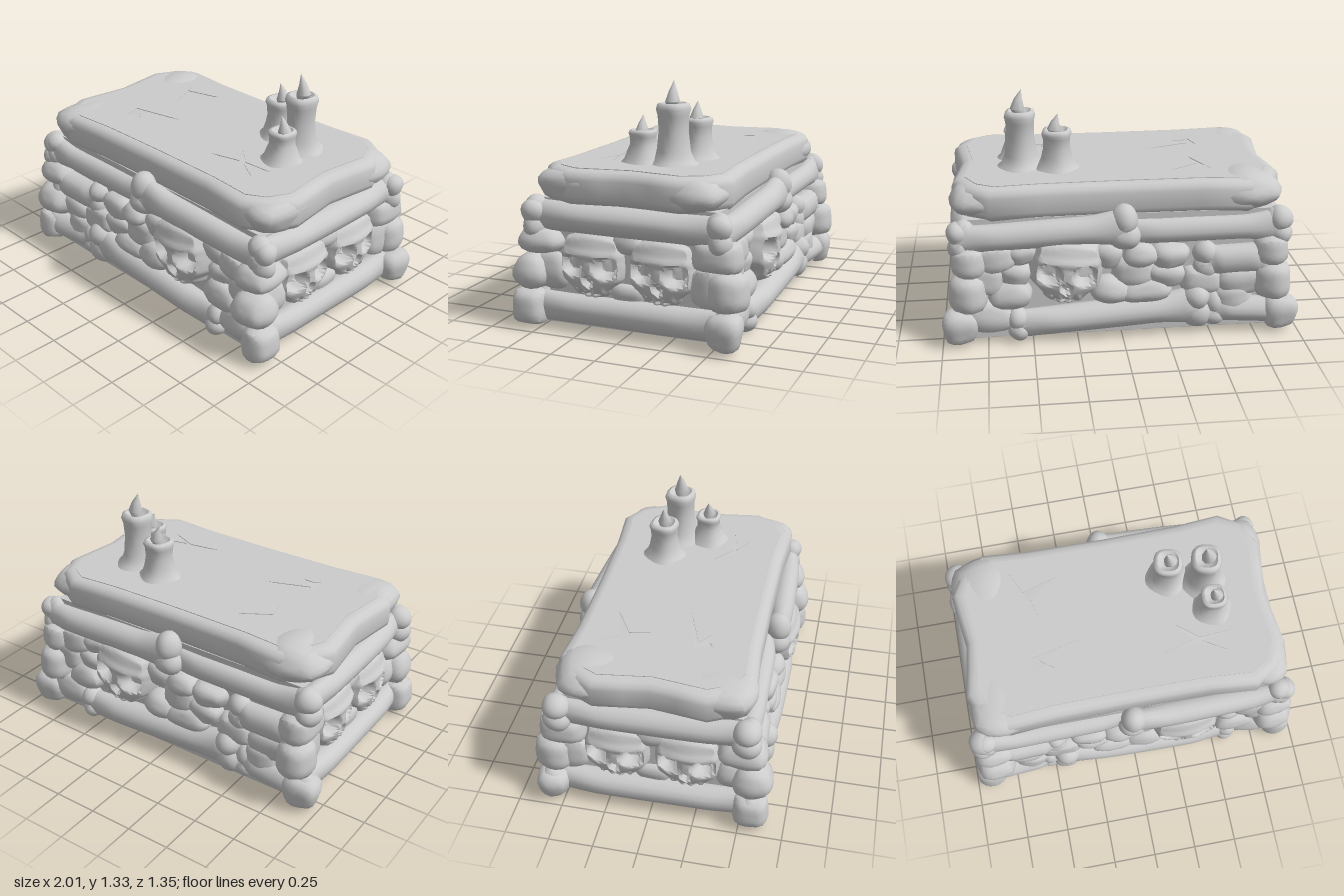
import * as THREE from 'three';
import { mergeGeometries, toCreasedNormals } from 'three/addons/utils/BufferGeometryUtils.js';

const material = new THREE.MeshStandardMaterial({ color: 0xcccccc, side: THREE.DoubleSide });

// Move every vertex by a rule
function warp(geo, rule) {
  const p = geo.attributes.position, v = new THREE.Vector3();
  for (let i = 0; i < p.count; i++) {
    v.fromBufferAttribute(p, i);
    rule(v);
    p.setXYZ(i, v.x, v.y, v.z);
  }
  return geo;
}

// Smooth, repeatable bumps
const bump = (v, f, s) =>
  (Math.sin(v.x * f + s) + Math.sin(v.y * f * 1.2 + s * 2.1) + Math.sin(v.z * f * 0.9 + s * 3.7)) / 3;

// Smooth ramp from 0 at a to 1 at b, in either direction
function step(a, b, x) {
  const t = THREE.MathUtils.clamp((x - a) / (b - a), 0, 1);
  return t * t * (3 - 2 * t);
}

function plain(geo) {
  const g = geo.index ? geo.toNonIndexed() : geo;
  g.deleteAttribute('uv');
  return g;
}

function add(parent, name, geo, crease = 0.8) {
  const mesh = new THREE.Mesh(toCreasedNormals(plain(geo), crease), material);
  mesh.name = name;
  parent.add(mesh);
  return mesh;
}

// Lumpy stone or knuckle with half sizes w, h, d
function rock(parent, name, [x, y, z], [w, h, d], seed = 1, turn = 0) {
  const geo = warp(new THREE.IcosahedronGeometry(1, 3), v => {
    const m = Math.max(Math.abs(v.x), Math.abs(v.y), Math.abs(v.z));
    v.multiplyScalar((0.72 + 0.28 / m) * (1 + 0.14 * bump(v, 3.8, seed)));
    v.set(v.x * w, v.y * h, v.z * d);
  });
  const mesh = add(parent, name, geo);
  mesh.position.set(x, y, z);
  mesh.rotation.z = turn;
}

// Bone from a to b: flared shaft with a pair of knobs at each end
function bone(parent, name, a, b, r, knobA, knobB, seed = 1) {
  const A = new THREE.Vector3(...a), B = new THREE.Vector3(...b), len = A.distanceTo(B);
  const shaft = warp(new THREE.CylinderGeometry(1, 1, len, 16, 14), v => {
    const t = v.y / len + 0.5;
    const endA = step(0.25, 0, t), endB = step(0.75, 1, t);
    const k = 1 + 0.06 * bump(v, 5, seed);
    // Wider along the knob pair than across it
    v.x *= k * (r + (knobA * 1.3 - r) * endA + (knobB * 1.3 - r) * endB);
    v.z *= k * (r + (knobA * 0.8 - r) * endA + (knobB * 0.8 - r) * endB);
  });
  const parts = [plain(shaft)];
  [[-1, knobA], [1, knobB]].forEach(([end, k]) => {
    for (const side of [-1, 1]) {
      const knob = warp(new THREE.IcosahedronGeometry(k, 3),
        v => v.multiplyScalar(1 + 0.12 * bump(v, 3 / k, seed + end + side)));
      parts.push(plain(knob.translate(side * k * 0.6, end * len / 2, 0)));
    }
  });
  const mesh = add(parent, name, mergeGeometries(parts));
  mesh.position.copy(A).add(B).multiplyScalar(0.5);
  // Local y runs along the bone, local x (the knob pair) stays close to vertical
  const along = B.clone().sub(A).normalize();
  const up = new THREE.Vector3(0, 1, 0).addScaledVector(along, -along.y).normalize();
  mesh.quaternion.setFromRotationMatrix(
    new THREE.Matrix4().makeBasis(up, along, new THREE.Vector3().crossVectors(up, along)));
}

// Skull facing +z with sunken eyes and nose, cheekbones and a narrow jaw
function skull(parent, name, [x, y, z], turn, size, roll = 0) {
  const geo = warp(new THREE.SphereGeometry(1, 64, 48), v => {
    const m = Math.max(Math.abs(v.x), Math.abs(v.y), Math.abs(v.z));
    v.multiplyScalar(0.7 + 0.3 / m);
    const front = step(0.1, 0.5, v.z);
    const px = v.x, py = v.y;
    v.x *= 1 - 0.3 * step(-0.3, -0.65, py);
    const pit = (cx, cy, rx, ry) => step(1.15, 0.6, Math.hypot((px - cx) / rx, (py - cy) / ry)) * front;
    v.z -= 0.4 * (pit(-0.47, 0.02, 0.31, 0.29) + pit(0.47, 0.02, 0.31, 0.29));
    v.z -= 0.22 * pit(0, -0.36, 0.14, 0.18);
    // Brow, mouth line and teeth
    v.z += 0.07 * front * step(0.16, 0, Math.abs(py - 0.36));
    v.z -= 0.1 * front * step(0.1, 0, Math.abs(py + 0.74)) * step(0.6, 0.4, Math.abs(px));
    if (py < -0.6) v.z -= 0.04 * front * Math.cos(px * 18);
    v.set(v.x * size * 1.02, v.y * size, v.z * size * 0.9);
  });
  const mesh = add(parent, name, geo);
  mesh.position.set(x, y, z);
  mesh.rotation.set(0, turn, roll, 'YXZ');
}

// Dripping candle with flared wax at the foot and a bent flame
function candle(parent, x, z, r, top, tip, seed) {
  const g = new THREE.Group();
  g.name = 'candle';
  g.position.set(x, 0.88, z);
  const h = top - 0.88;
  const profile = [[r * 1.8, -0.01], [r * 1.35, 0.02], [r * 1.1, 0.07], [r * 0.94, h * 0.55],
    [r * 0.97, h * 0.8], [r * 1.08, h * 0.9], [r, h * 0.98], [r * 0.8, h], [r * 0.55, h - 0.02], [0, h - 0.03]];
  const wax = new THREE.LatheGeometry(profile.map(p => new THREE.Vector2(...p)), 28);
  add(g, 'wax', warp(wax, v => {
    const k = 1 + 0.05 * Math.sin(Math.atan2(v.z, v.x) * 4 + seed + v.y * 9) + 0.06 * bump(v, 18, seed);
    v.x *= k;
    v.z *= k;
  }), 1);
  const fh = tip - top + 0.04, fr = r * 0.5;
  const flame = new THREE.LatheGeometry([[0, 0], [fr * 0.7, 0.01], [fr, fh * 0.3], [fr * 0.55, fh * 0.65], [0, fh]]
    .map(p => new THREE.Vector2(...p)), 9);
  add(g, 'flame', warp(flame, v => { v.x += 0.015 * Math.sin(v.y / fh * 4); })).position.y = h - 0.04;
  parent.add(g);
}

// Lid outline, bulging at the corners, from one quarter
function lidShape(k) {
  const q = [[0.82, 0], [0.84, 0.15], [0.86, 0.3], [0.8, 0.42], [0.7, 0.48], [0.45, 0.46], [0, 0.455]];
  const pts = [];
  for (const [sx, sz] of [[1, 1], [-1, 1], [-1, -1], [1, -1]]) {
    const part = q.map(([x, z]) => new THREE.Vector2(x * sx * k, z * sz * k));
    if (sx * sz < 0) part.reverse();
    pts.push(...part.slice(0, -1));
  }
  return new THREE.Shape(pts);
}

function lid(parent) {
  const g = new THREE.Group();
  g.name = 'lid';
  const slab = new THREE.ExtrudeGeometry(lidShape(1),
    { depth: 0.09, bevelThickness: 0.05, bevelSize: 0.06, bevelSegments: 3 });
  add(g, 'lidSlab', slab.rotateX(-Math.PI / 2).translate(0, 0.74, 0), 1);
  // Top skin cut by branching cracks
  const skin = lidShape(0.985);
  const cracks = [
    [[-0.44, -0.08], [-0.49, -0.2], [-0.57, -0.38], [-0.51, -0.25], [-0.3, -0.31], [-0.47, -0.21]],
    [[-0.5, 0.26], [-0.53, 0.16], [-0.22, 0.09], [-0.48, 0.18], [-0.4, 0.24], [-0.47, 0.24]],
    [[0.22, 0.27], [0.4, 0.22], [0.32, 0.11], [0.44, 0.21], [0.62, 0.2], [0.45, 0.235], [0.58, 0.31], [0.42, 0.24]],
  ];
  for (const c of cracks) skin.holes.push(new THREE.Path(c.map(([x, z]) => new THREE.Vector2(x, -z))));
  const top = new THREE.ExtrudeGeometry(skin, { depth: 0.012, bevelEnabled: false });
  add(g, 'crackedTop', top.rotateX(-Math.PI / 2).translate(0, 0.872, 0));
  for (const s of [1, -1]) {
    rock(g, 'lidCorner', [-0.72, 0.79, 0.34 * s], [0.2, 0.105, 0.2], 2 + s);
    rock(g, 'lidCorner', [0.77, 0.785, 0.35 * s], [0.15, 0.095, 0.18], 5 + s);
  }
  parent.add(g);
}

export function createModel() {
  const model = new THREE.Group();
  model.name = 'boneAltar';

  const core = new THREE.BoxGeometry(1.7, 0.68, 1.02);
  add(model, 'core', core.translate(0, 0.37, 0));
  const plate = new THREE.BoxGeometry(1.76, 0.06, 1.14);
  add(model, 'basePlate', plate.translate(0, 0.06, 0));
  lid(model);

  // Front and back walls
  for (const s of [1, -1]) {
    const wall = new THREE.Group();
    wall.name = s > 0 ? 'frontWall' : 'backWall';
    bone(wall, 'lowerLongBone', [-0.42, 0.16, 0.55 * s], [0.58, 0.1, 0.56 * s], 0.08, 0.085, 0.065, 1);
    bone(wall, 'lowerShortBone', [-0.9, 0.11, 0.56 * s], [-0.52, 0.13, 0.54 * s], 0.075, 0.07, 0.065, 2);
    bone(wall, 'upperLeftBone', [-0.89, 0.61, 0.52 * s], [0, 0.6, 0.5 * s], 0.07, 0.075, 0.06, 3);
    bone(wall, 'upperRightBone', [-0.01, 0.65, 0.56 * s], [0.89, 0.6, 0.53 * s], 0.075, 0.08, 0.065, 4);
    bone(wall, 'middleBone', [-0.82, 0.43, 0.53 * s], [-0.47, 0.42, 0.52 * s], 0.085, 0.075, 0.07, 5);
    skull(wall, 'skull', [0.31, 0.41, 0.48 * s], s > 0 ? 0 : Math.PI, 0.205, 0.1 * s);
    const stones = [
      [-0.27, 0.46, 0.11, 0.075], [-0.1, 0.48, 0.1, 0.07], [-0.07, 0.37, 0.13, 0.085], [-0.25, 0.35, 0.11, 0.07],
      [-0.13, 0.26, 0.14, 0.07], [-0.45, 0.3, 0.12, 0.08], [-0.68, 0.29, 0.14, 0.09], [0.06, 0.27, 0.12, 0.08],
      [0.7, 0.49, 0.13, 0.075], [0.59, 0.39, 0.09, 0.07], [0.62, 0.27, 0.12, 0.09], [0.76, 0.37, 0.1, 0.09],
      [0.55, 0.51, 0.09, 0.07], [0.74, 0.15, 0.15, 0.1], [-0.63, 0.19, 0.12, 0.08], [0.08, 0.48, 0.09, 0.08],
    ];
    stones.forEach(([x, y, w, h], i) =>
      rock(wall, 'stone', [x, y, (0.52 + 0.015 * Math.sin(i * 2)) * s], [w, h, 0.085], i, 0.15 * Math.sin(i * 3)));
    model.add(wall);
  }

  // End walls
  for (const s of [1, -1]) {
    const wall = new THREE.Group();
    wall.name = s > 0 ? 'leftWall' : 'rightWall';
    bone(wall, 'lowerEndBone', [0.87 * s, 0.12, 0.56], [0.87 * s, 0.12, -0.56], 0.08, 0.065, 0.065, 6);
    bone(wall, 'upperEndBone', [0.86 * s, 0.62, 0.53], [0.86 * s, 0.61, -0.51], 0.08, 0.065, 0.065, 7);
    for (const z of [0.2, -0.2]) {
      skull(wall, 'skull', [0.76 * s, 0.365, z], s * Math.PI / 2, 0.2);
    }
    for (const z of [1, -1]) {
      rock(wall, 'cornerKnuckle', [0.85 * s, 0.3, 0.56 * z], [0.11, 0.105, 0.115], 3 + z);
      rock(wall, 'cornerFoot', [0.9 * s, 0.11, 0.56 * z], [0.1, 0.1, 0.095], 7 + z);
      rock(wall, 'cornerStone', [0.84 * s, 0.48, 0.5 * z], [0.11, 0.085, 0.13], 9 + z);
      rock(wall, 'endStone', [0.83 * s, 0.31, 0.45 * z], [0.08, 0.11, 0.1], 12 + z);
    }
    rock(wall, 'endStone', [0.83 * s, 0.22, 0], [0.06, 0.07, 0.1], 15);
    rock(wall, 'endStone', [0.83 * s, 0.5, 0], [0.06, 0.07, 0.1], 16);
    model.add(wall);
  }

  // Candles
  candle(model, 0.53, -0.13, 0.082, 1.21, 1.33, 1);
  candle(model, 0.33, -0.19, 0.078, 1.11, 1.2, 2);
  candle(model, 0.55, 0.04, 0.073, 1.06, 1.14, 3);

  return model;
}
